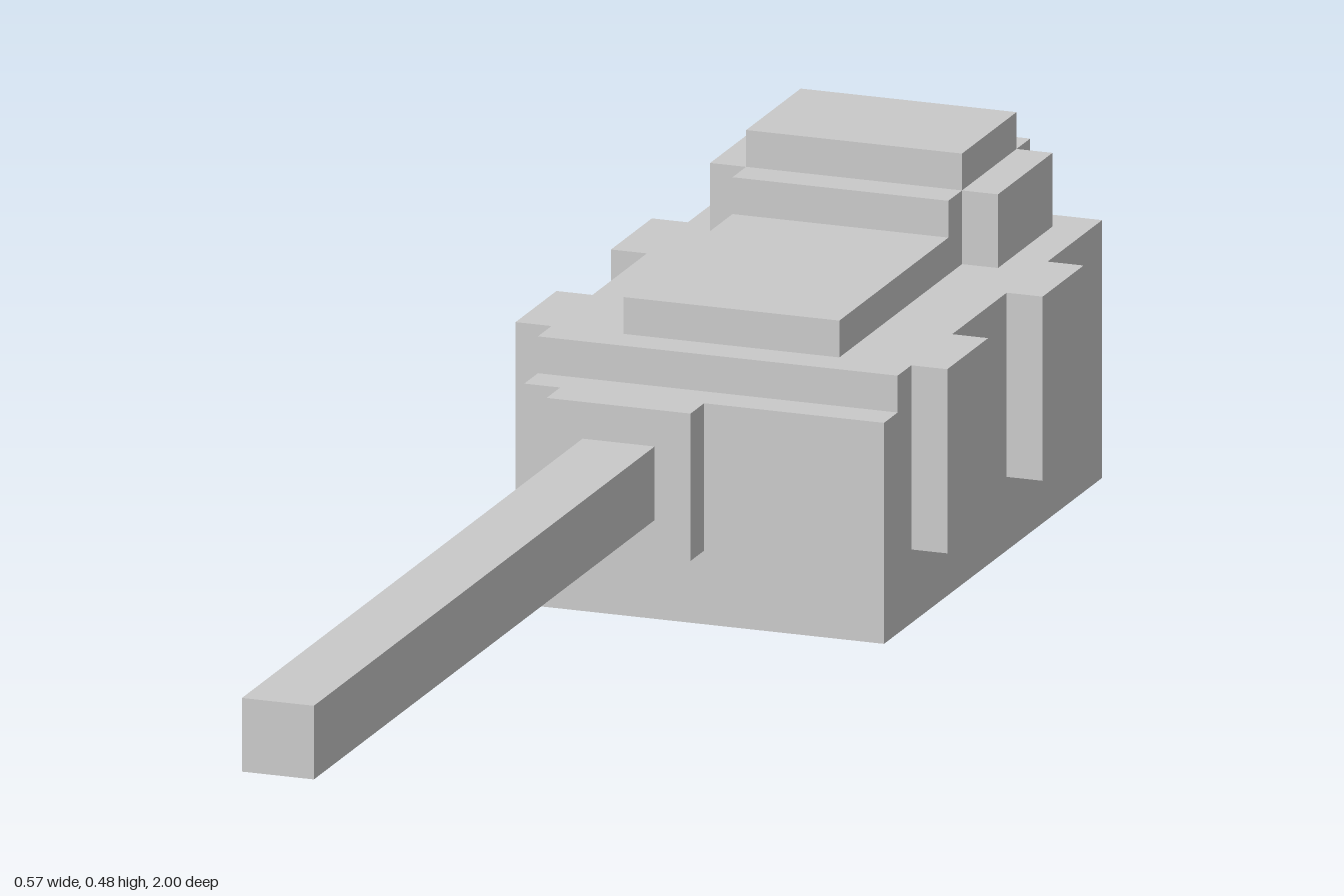
import * as THREE from 'three';

// The whole design sits on a block grid: 42 blocks make the full length.
const U = 2 / 42;

export function createModel() {
  const model = new THREE.Group();
  model.name = 'blockTank';
  const material = new THREE.MeshStandardMaterial({ color: 0xcccccc, flatShading: true });

  // Box between two grid values on each axis
  const block = (name, [x0, x1], [y0, y1], [z0, z1]) => {
    const geometry = new THREE.BoxGeometry((x1 - x0) * U, (y1 - y0) * U, (z1 - z0) * U);
    const mesh = new THREE.Mesh(geometry, material);
    mesh.position.set((x0 + x1) / 2 * U, (y0 + y1) / 2 * U, (z0 + z1) / 2 * U);
    mesh.name = name;
    model.add(mesh);
  };

  // Hull: side profile with a stepped front edge, extruded across the width
  const profile = [[-21, 0], [-5, 0], [-5, 6], [-6, 6], [-6, 7], [-21, 7]];
  const shape = new THREE.Shape(profile.map(([z, y]) => new THREE.Vector2(-z * U, y * U)));
  const hullGeometry = new THREE.ExtrudeGeometry(shape, { depth: 10 * U, bevelEnabled: false });
  hullGeometry.translate(0, 0, -5 * U).rotateY(Math.PI / 2);
  const hull = new THREE.Mesh(hullGeometry, material);
  hull.name = 'hull';
  model.add(hull);

  // Long barrel and its square mount, offset to one side
  block('barrelMount', [-4, 0], [2, 6], [-5, -4]);
  block('barrel', [-3, -1], [3, 5], [-4, 21]);

  // Raised deck plate and rear housing with its cap
  block('deckPlate', [-3, 3], [7, 8], [-15, -7]);
  block('rearHousing', [-3, 3], [7, 9], [-21, -15]);
  block('housingCap', [-3, 3], [9, 10], [-20, -16]);

  // Mirrored housing cheeks and side pads
  for (const [side, s] of [['left', 1], ['right', -1]]) {
    const span = (a, b) => (s > 0 ? [a, b] : [-b, -a]);
    block(side + 'HousingCheek', span(3, 4), [7, 9], [-20, -16]);
    block(side + 'FrontPad', span(5, 6), [2, 7], [-10, -7]);
    block(side + 'RearPad', span(5, 6), [2, 7], [-17, -14]);
  }
  return model;
}
